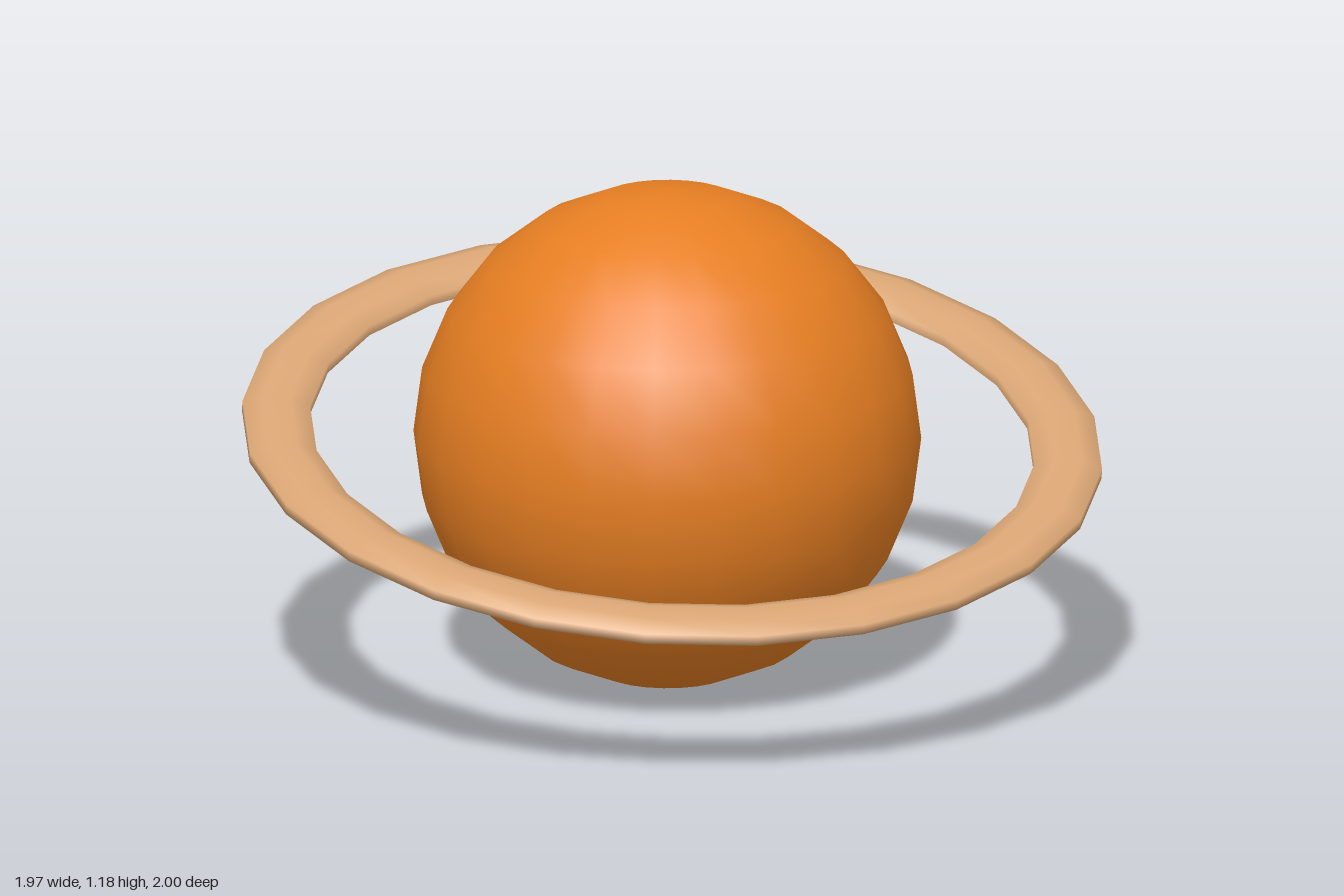
import * as THREE from 'three';

export function createModel() {
  const model = new THREE.Group();
  model.name = 'ringedPlanet';

  const planetOrange = new THREE.MeshStandardMaterial({ color: 0xe67e22 });
  planetOrange.name = 'planetOrange';
  const ringTan = new THREE.MeshStandardMaterial({ color: 0xd9a574 });
  ringTan.name = 'ringTan';

  // Planet: smooth ball resting on the ground
  const planet = new THREE.Mesh(new THREE.SphereGeometry(0.592, 24, 12), planetOrange);
  planet.name = 'planet';
  planet.position.set(-0.033, 0.592, -0.015);
  model.add(planet);

  // Ring: flattened eight-sided section swept round, with a blunt rim
  const midRadius = 0.925, halfWidth = 0.079, halfHeight = 0.03;
  const section = [];
  for (let i = 0; i <= 8; i++) {
    const a = -Math.PI + Math.PI / 8 + (i * Math.PI) / 4;
    const k = 1 / Math.cos(Math.PI / 8);
    section.push(new THREE.Vector2(
      midRadius + halfWidth * k * Math.cos(a),
      halfHeight * k * Math.sin(a)
    ));
  }
  const ring = new THREE.Mesh(new THREE.LatheGeometry(section, 24), ringTan);
  ring.name = 'ring';
  ring.position.set(0, 0.588, 0);
  // Tilted down towards the model's left and front
  ring.quaternion.setFromUnitVectors(
    new THREE.Vector3(0, 1, 0),
    new THREE.Vector3(0.2, 1, 0.1).normalize()
  );
  model.add(ring);

  return model;
}
